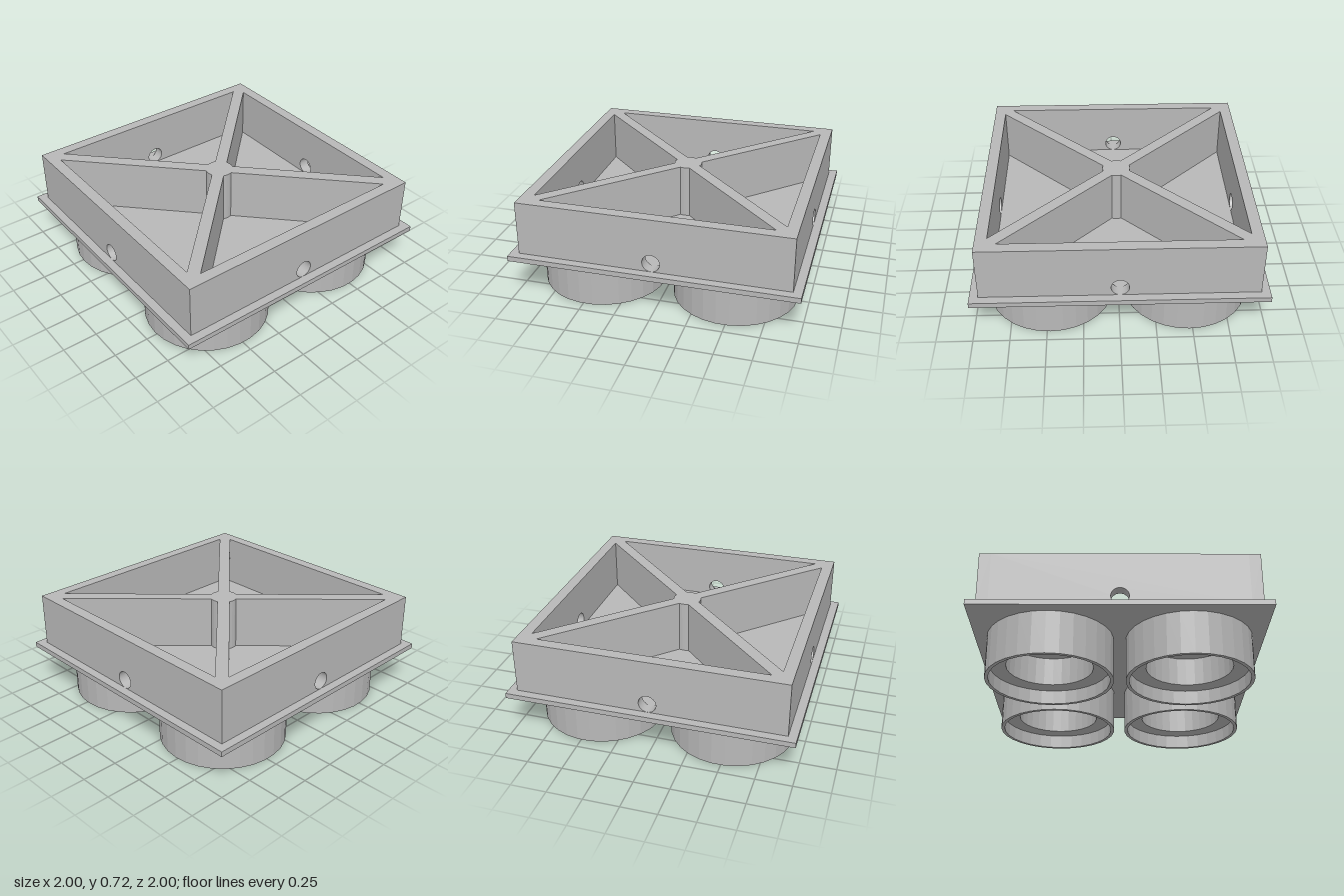
import * as THREE from 'three';

export function createModel() {
  const model = new THREE.Group();
  const grey = new THREE.MeshStandardMaterial({ color: 0xb8b8b8, flatShading: true });
  grey.name = 'grey';

  const add = (name, geometry, x = 0, y = 0, z = 0, turn = 0) => {
    const mesh = new THREE.Mesh(geometry, grey);
    mesh.name = name;
    mesh.position.set(x, y, z);
    mesh.rotation.y = turn;
    model.add(mesh);
    return mesh;
  };

  const plateBottom = 0.305, floor = 0.342, top = 0.725;
  const outer = 0.94, wall = 0.08, height = top - floor;

  // Flange plate, also the floor of the tray
  add('flangePlate', new THREE.BoxGeometry(2, floor - plateBottom, 2), 0, (floor + plateBottom) / 2, 0);

  // Four tray walls, each with a round hole near the floor
  for (let i = 0; i < 4; i++) {
    const half = i % 2 ? outer - wall : outer;
    const shape = new THREE.Shape();
    shape.moveTo(-half, 0);
    shape.lineTo(half, 0);
    shape.lineTo(half, height);
    shape.lineTo(-half, height);
    shape.closePath();
    const hole = new THREE.Path();
    hole.absarc(0, 0.062, 0.061, 0, Math.PI * 2, true);
    shape.holes.push(hole);
    const geometry = new THREE.ExtrudeGeometry(shape, { depth: wall, bevelEnabled: false, curveSegments: 30 });
    geometry.translate(0, 0, outer - wall);
    add('trayWall', geometry, 0, floor, 0, i * Math.PI / 2);
  }

  // Diagonal ribs from the centre post into the corners
  const reach = (outer - wall / 2) * Math.SQRT2 - 0.02;
  for (let i = 0; i < 4; i++) {
    const geometry = new THREE.BoxGeometry(reach, height, 0.085);
    geometry.translate(reach / 2, height / 2, 0);
    add('diagonalRib', geometry, 0, floor, 0, Math.PI / 4 + i * Math.PI / 2);
  }
  add('centrePost', new THREE.CylinderGeometry(0.1, 0.1, height, 30), 0, floor + height / 2, 0, Math.PI / 2);

  // Four stepped cups underneath: wide shallow recess, then a narrower bore
  const profile = [
    [0.3, plateBottom], [0.3, 0.1], [0.415, 0.1], [0.415, 0], [0.44, 0], [0.44, plateBottom],
  ].map(([r, y]) => new THREE.Vector2(r, y));
  const cup = new THREE.LatheGeometry(profile, 30);
  for (const x of [-0.48, 0.48]) {
    for (const z of [-0.48, 0.48]) add('steppedCup', cup, x, 0, z, Math.PI / 2);
  }

  return model;
}
